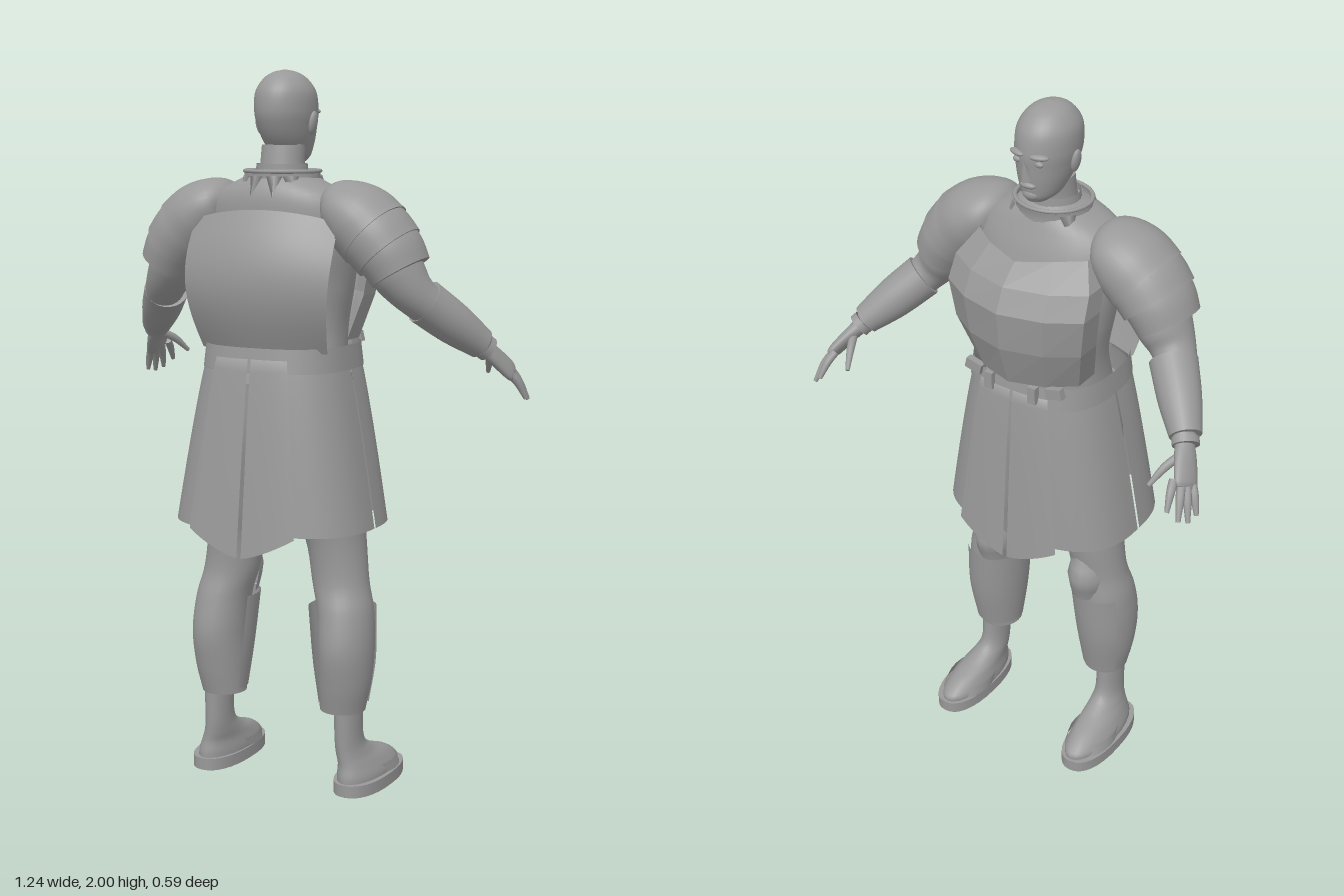
import * as THREE from 'three';
import { ParametricGeometry } from 'three/addons/geometries/ParametricGeometry.js';
import { mergeGeometries } from 'three/addons/utils/BufferGeometryUtils.js';

const PI = Math.PI, lerp = THREE.MathUtils.lerp;
const steel = new THREE.MeshStandardMaterial({ color: 0x999999, side: THREE.DoubleSide });
steel.name = 'plain grey';

function add(parent, name, geometry, x = 0, y = 0, z = 0) {
  const mesh = new THREE.Mesh(geometry, steel);
  mesh.name = name;
  mesh.position.set(x, y, z);
  parent.add(mesh);
  return mesh;
}

const power = (v, p) => Math.sign(v) * Math.abs(v) ** p;

// Sweeps an ellipse along rows of [x, y, z, radiusA, radiusB].
// flat keeps rings level (A along x, B along z); otherwise they follow the path.
function sweep(rows, { flat = false, n = 24, steps = rows.length * 4, p = 1, from = 0, to = 2 * PI, caps = true } = {}) {
  const path = new THREE.CatmullRomCurve3(rows.map(r => new THREE.Vector3(r[0], r[1], r[2])), false, 'catmullrom');
  const size = new THREE.CatmullRomCurve3(rows.map(r => new THREE.Vector3(r[3], r[4], 0)), false, 'catmullrom');
  const point = (u, t, k, out) => {
    const c = path.getPoint(t), s = size.getPoint(t), a = lerp(from, to, u);
    const U = new THREE.Vector3(1, 0, 0), V = new THREE.Vector3(0, 0, 1);
    if (!flat) {
      const T = path.getTangent(t);
      U.crossVectors(T, V).normalize();
      V.crossVectors(T, U);
    }
    out.copy(c).addScaledVector(U, k * s.x * power(Math.cos(a), p)).addScaledVector(V, k * s.y * power(Math.sin(a), p));
  };
  const parts = [new ParametricGeometry((u, v, o) => point(u, v, 1, o), n, steps)];
  if (caps) for (const end of [0, 1]) {
    const cap = new ParametricGeometry((u, v, o) => point(u, end, 1 - v, o), n, 1);
    cap.computeVertexNormals();
    parts.push(cap);
  }
  return mergeGeometries(parts);
}

function ellipsoid(rx, ry, rz) {
  return new THREE.SphereGeometry(1, 16, 12).scale(rx, ry, rz);
}

function buildHead(parent) {
  const head = new THREE.Group();
  head.name = 'head';
  parent.add(head);
  add(head, 'neck', sweep([[0, 1.66, .04, .08, .075], [0, 1.73, .04, .063, .06], [0, 1.8, .03, .06, .058]], { flat: true }));
  add(head, 'skull', sweep([
    [0, 1.755, -.03, .03, .04], [0, 1.773, -.015, .05, .064], [0, 1.81, 0, .066, .085], [0, 1.85, .01, .076, .098],
    [0, 1.89, .015, .082, .104], [0, 1.94, .018, .079, .096], [0, 1.975, .02, .058, .07], [0, 1.993, .022, .032, .038],
    [0, 2, .022, .003, .003]], { flat: true, n: 32 }));
  const nose = new THREE.ConeGeometry(.017, .055, 8).scale(1, 1, 1.2).rotateX(-.3);
  add(head, 'nose', nose, 0, 1.852, -.092);
  add(head, 'lips', ellipsoid(.024, .009, .012), 0, 1.806, -.081);
  add(head, 'chin', ellipsoid(.026, .018, .018), 0, 1.777, -.066);
  for (const s of [-1, 1]) {
    add(head, 'brow', ellipsoid(.026, .008, .012), s * .034, 1.889, -.08).rotation.y = -s * .35;
    add(head, 'eye', ellipsoid(.013, .008, .008), s * .033, 1.87, -.08);
    add(head, 'ear', ellipsoid(.01, .032, .018), s * .082, 1.858, .015).rotation.z = -s * .15;
  }
}

function buildTorso(parent) {
  add(parent, 'torso', sweep([
    [0, 1.16, .03, .18, .15], [0, 1.3, .01, .175, .125], [0, 1.42, .01, .195, .125], [0, 1.52, .02, .21, .135],
    [0, 1.61, .035, .215, .125], [0, 1.67, .045, .185, .11], [0, 1.71, .045, .11, .09], [0, 1.73, .04, .07, .065]],
  { flat: true, n: 36, p: .9 }));

  // Upright collar with pointed trim
  add(parent, 'collar', sweep([[0, 1.66, .045, .118, .105], [0, 1.7, .04, .108, .095], [0, 1.735, .037, .104, .097]], { flat: true, caps: false }));
  const rim = add(parent, 'collarRim', new THREE.TorusGeometry(1, .06, 8, 32).scale(.104, .097, .09).rotateX(PI / 2), 0, 1.73, .037);
  rim.name = 'collarRim';
  add(parent, 'innerCollar', sweep([[0, 1.7, .04, .075, .07], [0, 1.75, .04, .07, .068]], { flat: true, caps: false }));
  for (const a of [.9, 1.32, 1.82, 2.24, -.7, -2.44]) {
    const spike = add(parent, 'collarPoint', new THREE.ConeGeometry(.022, .06, 4).scale(1, 1, .3).rotateX(PI - .45),
      .122 * Math.cos(a), 1.69, .04 + .11 * Math.sin(a));
    spike.rotation.y = PI / 2 - a;
  }

  // Faceted breastplate with a centre ridge: y, ridge z, half width
  const rows = [[1.27, -.18, .17], [1.39, -.22, .2], [1.5, -.23, .215], [1.565, -.2, .21], [1.63, -.145, .17]];
  const plate = new ParametricGeometry((u, v, o) => {
    const [y, z, w] = rows[Math.min(4, Math.round(v * 4))];
    const c = Math.min(6, Math.round(u * 6));
    const side = [-1, -1, -.58, 0, .58, 1, 1][c], depth = [.16, .085, .03, 0, .03, .085, .16][c];
    o.set(side * w, y - (v > .9 && c === 3 ? .015 : 0), z + depth);
  }, 6, 4).toNonIndexed();
  plate.computeVertexNormals();
  add(parent, 'breastplate', plate);

  // Thin curved plate standing off the back
  const back = o => new ParametricGeometry((u, v, p) => {
    const x = u * 2 - 1, w = .19 + .03 * Math.sin(Math.min(1, v * 1.1) * PI * .6);
    const z = .19 + .065 * Math.sin(v * PI * .93) - .025 * v - .045 * x * x - o;
    p.set(x * w, 1.25 + v * (.38 - .03 * x * x), z);
  }, 20, 16);
  add(parent, 'backPlate', mergeGeometries([back(0), back(.008)]));
}

// Point on the flared skirt: angle a, drop v, outward offset
function skirtPoint(a, v, bottom, off, out) {
  const rx = .197 + .092 * v ** .85 + off, rz = .183 + .042 * v ** .8 + off;
  return out.set(rx * power(Math.cos(a), .72), lerp(1.235, bottom, v), .03 + .01 * v + rz * power(Math.sin(a), .72));
}

function buildSkirt(parent) {
  const skirt = new THREE.Group();
  skirt.name = 'armourSkirt';
  parent.add(skirt);
  for (const sx of [-1, 1]) for (const sz of [-1, 1]) {
    add(skirt, 'sidePanel', new ParametricGeometry((u, v, o) => {
      skirtPoint(lerp(.004, 1.3, u), v, .765, 0, o);
      o.x *= sx;
      if (sz < 0) o.z = .06 + .02 * v - o.z;
    }, 16, 16));
    add(skirt, 'pointedPanel', new ParametricGeometry((u, v, o) => {
      skirtPoint(lerp(1.16, 1.566, u), v, lerp(.765, .7, u), .012 + .012 * v, o);
      o.x *= sx;
      if (sz < 0) o.z = .06 + .02 * v - o.z;
    }, 12, 16));
  }
  add(parent, 'belt', sweep([[0, 1.2, .03, .21, .198], [0, 1.265, .03, .203, .19]], { flat: true, n: 40, p: .75, caps: false }));
  for (const s of [-1, 1]) {
    add(parent, 'beltClasp', new THREE.BoxGeometry(.025, .05, .02), s * .07, 1.245, -.165);
    add(parent, 'beltEnd', new THREE.BoxGeometry(.05, .03, .02), s * .13, 1.262, -.15).rotation.z = s * .25;
  }
}

function buildArm(parent) {
  add(parent, 'arm', sweep([[.18, 1.62, .04, .07, .09], [.29, 1.55, .04, .08, .095], [.35, 1.46, .03, .07, .085],
    [.4, 1.395, .005, .055, .06], [.47, 1.32, -.08, .048, .05], [.525, 1.26, -.145, .026, .03]]));

  // Three overlapping shoulder lames
  const lames = [
    [[.14, 1.655, .045, .03, .05], [.18, 1.645, .045, .07, .1], [.235, 1.61, .045, .097, .12], [.285, 1.565, .045, .104, .121]],
    [[.255, 1.59, .045, .096, .115], [.29, 1.56, .045, .1, .118], [.325, 1.52, .042, .097, .116]],
    [[.3, 1.55, .043, .09, .108], [.33, 1.515, .041, .09, .108], [.358, 1.468, .038, .082, .1]]];
  lames.forEach(rows => add(parent, 'shoulderLame', sweep(rows, { n: 32 })));

  add(parent, 'vambrace', sweep([[.405, 1.388, -.01, .062, .066], [.465, 1.325, -.075, .057, .058], [.52, 1.268, -.135, .042, .044]]));
  add(parent, 'wristBand', sweep([[.522, 1.264, -.14, .034, .038], [.532, 1.252, -.152, .034, .038]]));

  // Open hand
  add(parent, 'palm', sweep([[.522, 1.26, -.143, .024, .026], [.545, 1.23, -.175, .02, .036], [.57, 1.193, -.212, .017, .04], [.578, 1.18, -.224, .01, .034]]));
  const fingers = [[[.55, 1.203, -.24], [.565, 1.14, -.295]], [[.566, 1.193, -.228], [.593, 1.115, -.284]],
    [[.576, 1.184, -.218], [.609, 1.106, -.262]], [[.583, 1.178, -.2], [.615, 1.112, -.23]], [[.53, 1.235, -.18], [.49, 1.175, -.262]]];
  fingers.forEach(([a, b], i) => {
    const mid = [0, 1, 2].map(k => (a[k] + b[k]) / 2 + (k === 1 ? .008 : 0));
    add(parent, i < 4 ? 'finger' : 'thumb', sweep([[...a, .012, .012], [...mid, .011, .011], [...b, .006, .006]], { n: 10 }));
  });
}

function buildLeg(parent) {
  add(parent, 'leg', sweep([[.192, .235, .038, .064, .066], [.2, .32, .04, .073, .083], [.203, .42, .04, .076, .096],
    [.195, .52, .03, .077, .09], [.175, .6, .02, .08, .08], [.16, .7, .015, .083, .087], [.14, .8, .02, .095, .1],
    [.11, 1, .03, .1, .13], [.1, 1.18, .03, .09, .13]], { flat: true }));
  add(parent, 'greave', sweep([[.195, .25, .038, .07, .074], [.195, .38, .036, .088, .096], [.185, .53, .03, .094, .103]],
    { flat: true, from: -1.12 * PI, to: -.2 * PI, caps: false }));
  add(parent, 'kneeGuard', sweep([[.165, .53, .015, .055, .09], [.165, .6, .015, .068, .108], [.16, .67, .01, .045, .075]],
    { flat: true, from: -.95 * PI, to: -.15 * PI, caps: false, steps: 4, n: 8 }));
  add(parent, 'foot', sweep([[.227, .028, -.055, .064, .152], [.226, .05, -.053, .062, .149], [.222, .08, -.032, .052, .122],
    [.215, .11, .008, .042, .082], [.211, .15, .034, .036, .058], [.21, .25, .04, .037, .055]], { flat: true }));
  add(parent, 'sole', sweep([[.23, 0, -.055, .071, .16], [.23, .034, -.055, .071, .16]], { flat: true, n: 32, p: .85 }));
  add(parent, 'sandalStrap', sweep([[.227, .035, -.09, .069, .1], [.225, .062, -.075, .065, .1]], { flat: true, caps: false }));
}

export function createModel() {
  const model = new THREE.Group();
  model.name = 'armouredFigure';
  buildHead(model);
  buildTorso(model);
  buildSkirt(model);
  for (const s of [-1, 1]) {
    const arm = new THREE.Group(), leg = new THREE.Group();
    arm.name = s > 0 ? 'leftArm' : 'rightArm';
    leg.name = s > 0 ? 'leftLeg' : 'rightLeg';
    buildArm(arm);
    buildLeg(leg);
    arm.scale.x = leg.scale.x = s;
    model.add(arm, leg);
  }
  return model;
}
